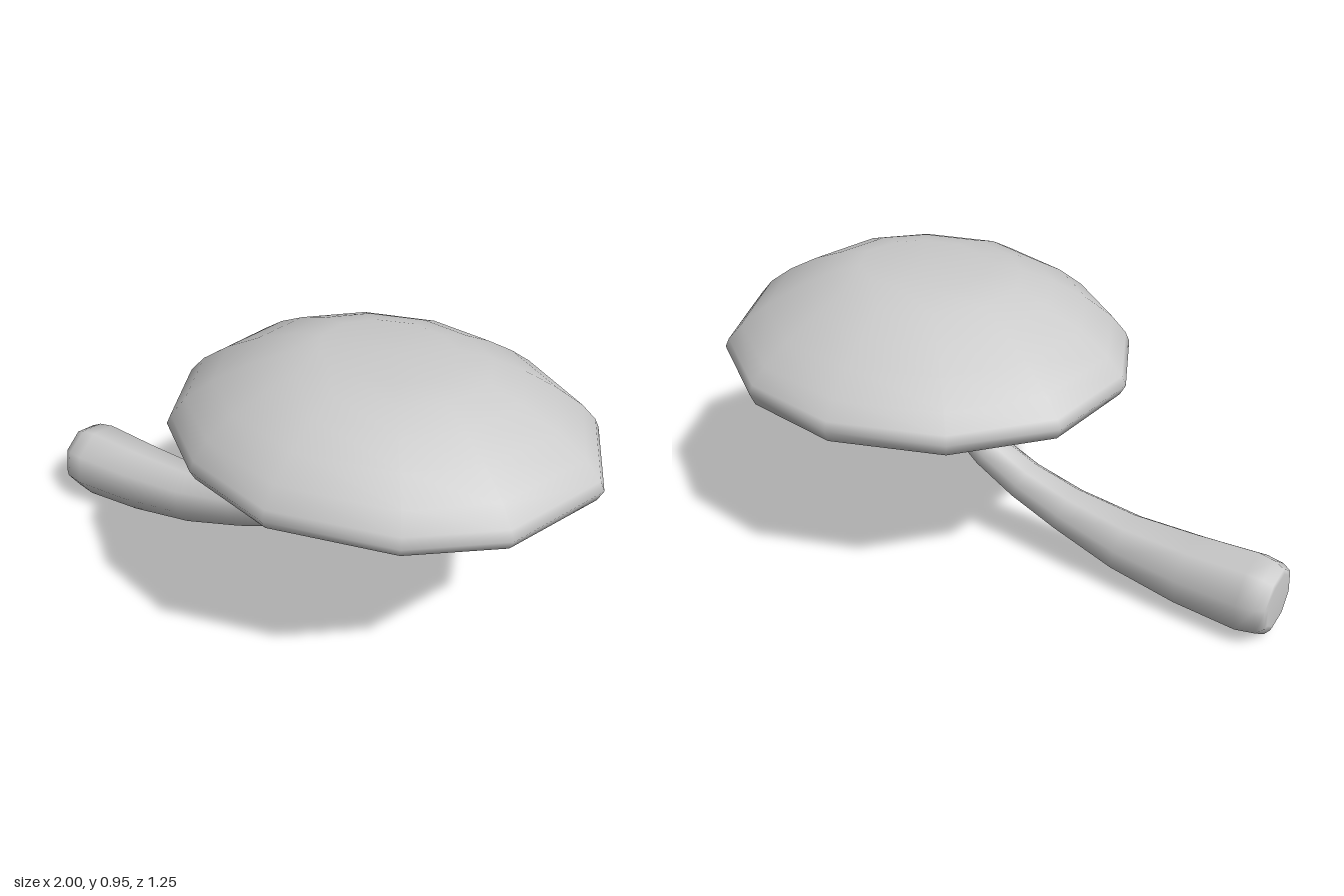
import * as THREE from 'three';
import { mergeVertices } from 'three/addons/utils/BufferGeometryUtils.js';

// Skin a list of equal-length rings of points; zero-size rings close the ends.
function loft(rings) {
  const n = rings[0].length;
  const index = [];
  for (let i = 0; i < rings.length - 1; i++) {
    for (let j = 0; j < n; j++) {
      const a = i * n + j, b = i * n + (j + 1) % n;
      index.push(a, b, a + n, b, b + n, a + n);
    }
  }
  const geometry = new THREE.BufferGeometry().setFromPoints(rings.flat());
  geometry.setIndex(index);
  const merged = mergeVertices(geometry, 1e-5);
  merged.computeVertexNormals();
  return merged;
}

// Uneven twelve-sided cap, swept from crown to rim and back underneath.
function capGeometry() {
  const cx = 0.31, cz = 0.01;
  const outline = [
    [0.21, -0.63], [0.55, -0.585], [0.84, -0.39], [0.995, -0.06],
    [0.89, 0.31], [0.66, 0.515], [0.28, 0.62], [-0.04, 0.535],
    [-0.27, 0.36], [-0.405, 0.085], [-0.37, -0.25], [-0.14, -0.505],
  ];
  // [scale, height, tilt along z]
  const profile = [
    [0, 0.962, 0], [0.31, 0.96, 0], [0.47, 0.935, 0.03], [0.62, 0.895, 0.04],
    [0.78, 0.835, 0.04], [0.91, 0.77, 0.03], [0.98, 0.715, 0.02],
    [1, 0.685, 0.015], [0.975, 0.65, 0.025], [0.9, 0.637, 0.025],
    [0.55, 0.638, 0.02], [0.2, 0.645, 0], [0, 0.65, 0],
  ];
  return loft(profile.map(([s, y, tilt]) => outline.map(([x, z]) =>
    new THREE.Vector3(cx + (x - cx) * s, y + tilt * (z - cz) * s, cz + (z - cz) * s))));
}

// Curved stalk with a thick blunt foot, flaring where it meets the cap.
function stemGeometry() {
  const sides = 8, cz = 0.022;
  // [x, y, radius]
  const path = [
    [-1, 0.143, 0], [-1, 0.143, 0.09], [-0.995, 0.143, 0.105], [-0.97, 0.14, 0.124],
    [-0.91, 0.138, 0.134], [-0.7, 0.137, 0.122], [-0.47, 0.153, 0.102],
    [-0.25, 0.2, 0.082], [-0.08, 0.255, 0.072], [0.06, 0.325, 0.066],
    [0.175, 0.415, 0.062], [0.24, 0.51, 0.061], [0.272, 0.6, 0.063],
    [0.278, 0.635, 0.068], [0.28, 0.652, 0.11], [0.28, 0.66, 0],
  ];
  return loft(path.map(([x, y, r], i) => {
    const p = path[Math.max(i - 1, 0)], q = path[Math.min(i + 1, path.length - 1)];
    const d = i < 3 ? new THREE.Vector2(1, 0)
      : i > 12 ? new THREE.Vector2(0, 1)
        : new THREE.Vector2(q[0] - p[0], q[1] - p[1]).normalize();
    return Array.from({ length: sides }, (_, j) => {
      const t = ((j + 0.3) / sides) * Math.PI * 2;
      const u = r * Math.cos(t), v = r * Math.sin(t);
      return new THREE.Vector3(x - d.y * u, y + d.x * u, cz + v);
    });
  }));
}

export function createModel() {
  const material = new THREE.MeshStandardMaterial({ color: 0xcccccc });
  const model = new THREE.Group();
  model.name = 'mushroom';

  const cap = new THREE.Mesh(capGeometry(), material);
  cap.name = 'cap';
  const stem = new THREE.Mesh(stemGeometry(), material);
  stem.name = 'stem';

  model.add(cap, stem);
  return model;
}
